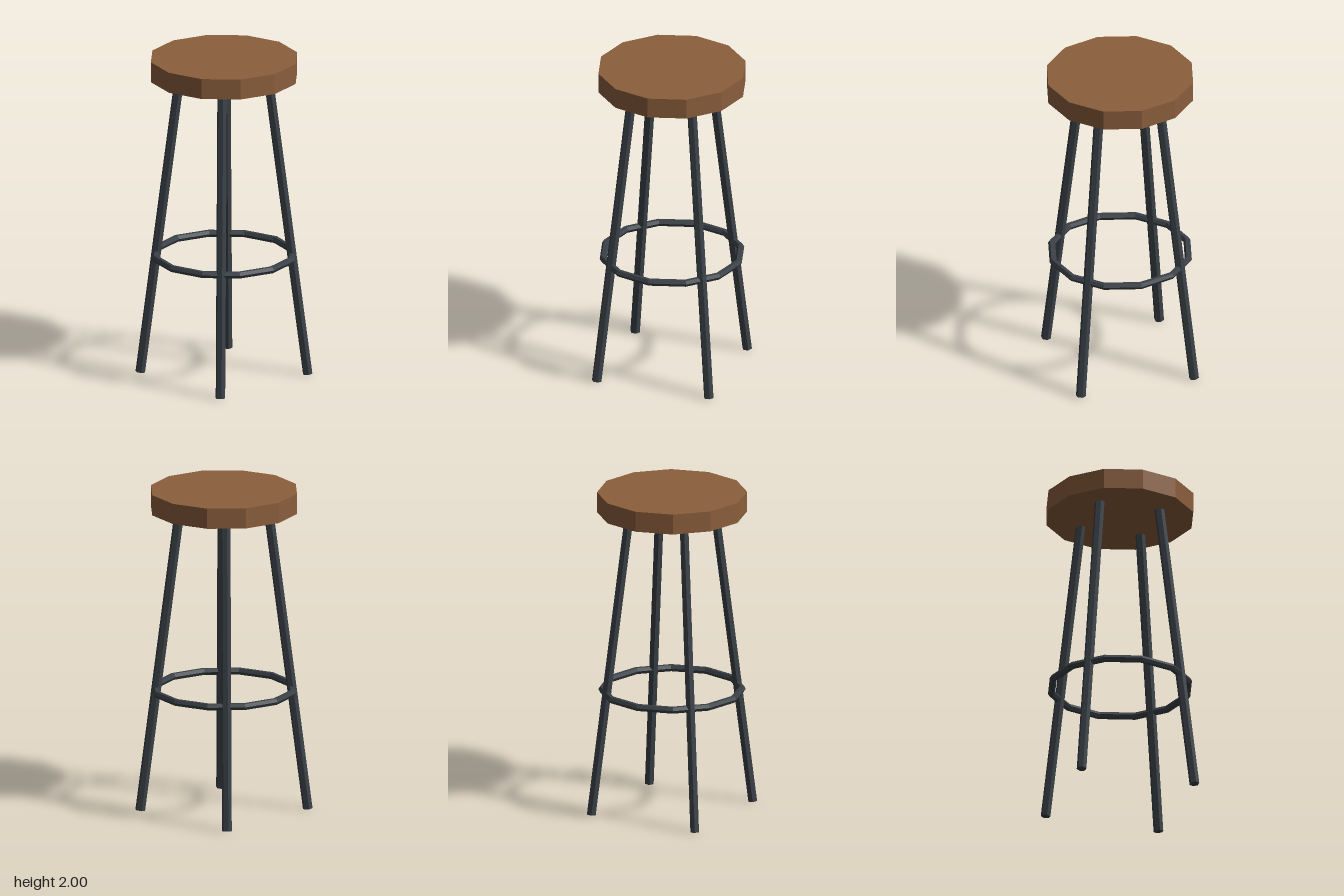
import * as THREE from 'three';

export function createModel() {
  const wood = new THREE.MeshStandardMaterial({ color: 0x8b5e3c, flatShading: true });
  wood.name = 'brown wood';
  const metal = new THREE.MeshStandardMaterial({ color: 0x3a4147, flatShading: true });
  metal.name = 'dark metal';

  const stool = new THREE.Group();
  stool.name = 'barStool';

  // Twelve-sided seat
  const seat = new THREE.Mesh(new THREE.CylinderGeometry(0.452, 0.452, 0.126, 12), wood);
  seat.name = 'seat';
  seat.position.y = 1.937;
  stool.add(seat);

  // Four splayed hexagonal legs, ending just inside the seat
  const up = new THREE.Vector3(0, 1, 0);
  for (const [sx, sz, name] of [
    [1, 1, 'frontLeftLeg'], [-1, 1, 'frontRightLeg'],
    [1, -1, 'backLeftLeg'], [-1, -1, 'backRightLeg'],
  ]) {
    const foot = new THREE.Vector3(0.357 * sx, 0.004, 0.357 * sz);
    const top = new THREE.Vector3(0.188 * sx, 1.885, 0.188 * sz);
    const axis = top.clone().sub(foot);
    const leg = new THREE.Mesh(new THREE.CylinderGeometry(0.03, 0.03, axis.length(), 6), metal);
    leg.name = name;
    leg.position.copy(foot).add(top).multiplyScalar(0.5);
    leg.quaternion.setFromUnitVectors(up, axis.normalize());
    stool.add(leg);
  }

  // Footrest ring
  const ring = new THREE.Mesh(new THREE.TorusGeometry(0.422, 0.022, 6, 12), metal);
  ring.name = 'footrestRing';
  ring.rotation.x = Math.PI / 2;
  ring.position.y = 0.754;
  stool.add(ring);

  return stool;
}
